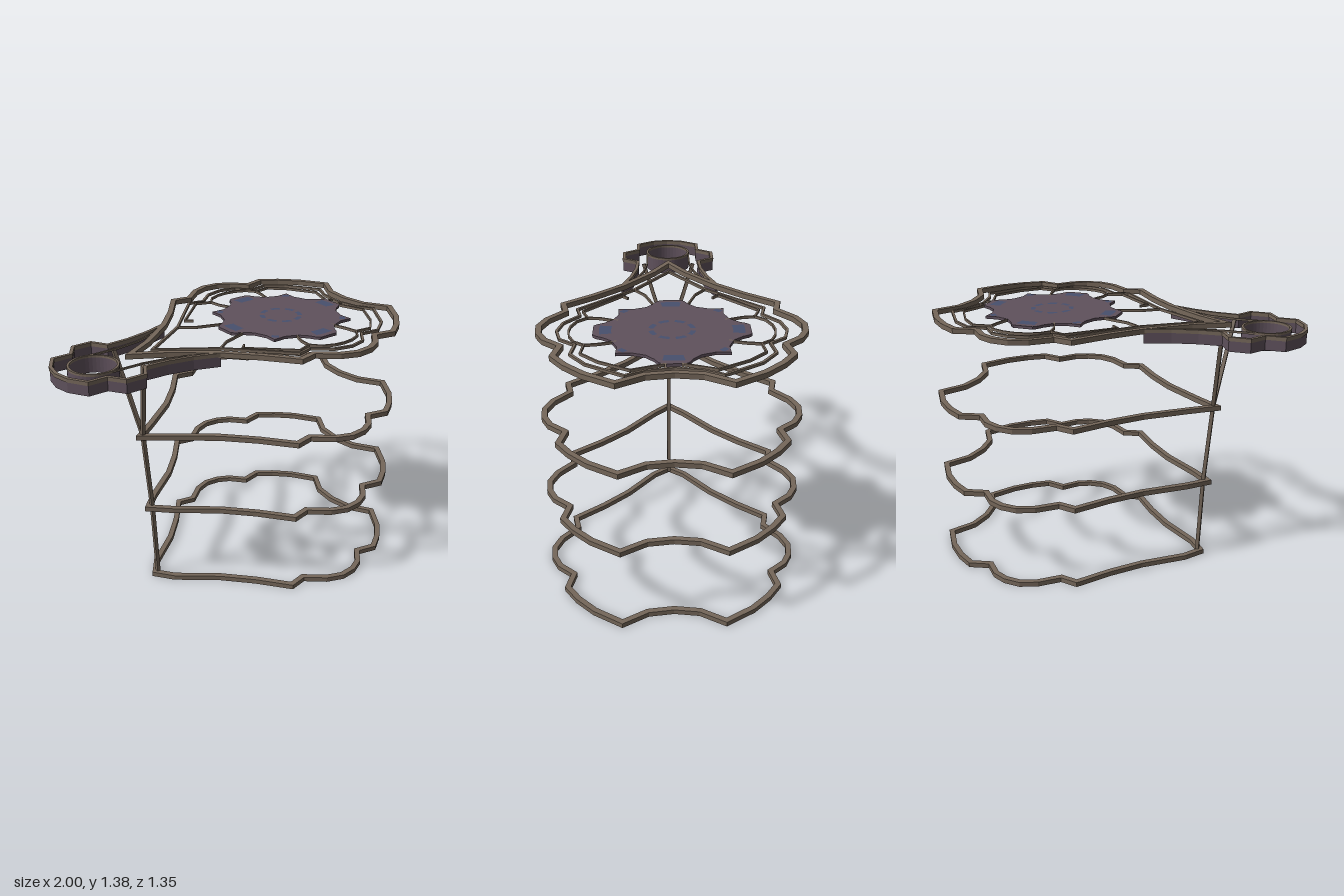
import * as THREE from 'three';

const mat = (name, color) => {
  const m = new THREE.MeshStandardMaterial({ color });
  m.name = name;
  return m;
};

// Plan points are [x, p] with p = -z. Mirror a half outline (left to right) into a closed loop.
const mirror = (half) => [
  ...half,
  ...half.filter((p) => p[1] > 0).reverse().map(([x, p]) => [x, -p]),
];
const flip = (pts) => pts.map(([x, p]) => [x, -p]);

// Shift a polyline sideways by d (to the right of its direction) with mitred corners
function offset(pts, d, closed) {
  const n = pts.length;
  const normal = (a, b) => new THREE.Vector2(b[1] - a[1], a[0] - b[0]).normalize();
  return pts.map((p, i) => {
    const prev = closed || i > 0 ? normal(pts[(i + n - 1) % n], p) : null;
    const next = closed || i < n - 1 ? normal(p, pts[(i + 1) % n]) : null;
    const a = prev || next, b = next || prev;
    const m = a.clone().add(b).normalize();
    const k = d / Math.max(0.45, m.dot(a));
    return new THREE.Vector2(p[0] + m.x * k, p[1] + m.y * k);
  });
}

function extrude(shape, y, height) {
  const g = new THREE.ExtrudeGeometry(shape, { depth: height, bevelEnabled: false, curveSegments: 20 });
  return g.rotateX(-Math.PI / 2).translate(0, y, 0);
}

// Strip of constant width following a plan line; closed loops run inward from the line
function ribbon(pts, width, y, height, closed = false) {
  let shape;
  if (closed) {
    // counter-clockwise outline around a clockwise hole, so both walls face out
    shape = new THREE.Shape(offset(pts, 0, true).reverse());
    shape.holes.push(new THREE.Path(offset(pts, width, true)));
  } else {
    shape = new THREE.Shape([
      ...offset(pts, -width / 2, false),
      ...offset(pts, width / 2, false).reverse(),
    ]);
  }
  return extrude(shape, y, height);
}

function ringShape(cx, outer, inner) {
  const s = new THREE.Shape().absarc(cx, 0, outer, 0, Math.PI * 2);
  s.holes.push(new THREE.Path().absarc(cx, 0, inner, 0, Math.PI * 2, true));
  return s;
}

export function createModel() {
  const root = new THREE.Group();
  const bronze = mat('bronze brown', 0x75675a);
  const plum = mat('dusky plum', 0x5f515c);
  const blue = mat('slate blue', 0x48506e);
  const add = (name, geometry, material) => {
    const m = new THREE.Mesh(geometry, material);
    m.name = name;
    root.add(m);
    return m;
  };

  // Four stacked frames sharing one lobed outline, each with its own pointed tip
  const lobes = [
    [-0.425, 0.105], [-0.22, 0.265], [-0.08, 0.41], [0.055, 0.578], [0.155, 0.558], [0.255, 0.64],
    [0.35, 0.676], [0.445, 0.668], [0.525, 0.63], [0.595, 0.552], [0.705, 0.577],
    [0.805, 0.51], [0.9, 0.417], [1, 0.265], [0.918, 0.13], [0.9, 0],
  ];
  const levels = [[0, -0.505], [0.446, -0.535], [0.892, -0.57], [1.358, -0.61]];
  levels.forEach(([y, tip], i) => {
    add(i === 3 ? 'topFrame' : 'lowerFrame' + (i + 1),
      ribbon(mirror([[tip, 0], ...lobes]), 0.03, y, 0.027, true), bronze);
  });

  // Thin tracery inside the top frame
  const ty = 1.364, th = 0.014;
  add('innerOutline', ribbon(mirror([
    [-0.46, 0], [-0.165, 0.2], [0.115, 0.492], [0.2, 0.472], [0.295, 0.55], [0.4, 0.575],
    [0.5, 0.552], [0.565, 0.474], [0.67, 0.49], [0.78, 0.412], [0.905, 0.225], [0.855, 0.13], [0.83, 0],
  ]), 0.013, ty, th, true), bronze);
  const tracery = [
    [[-0.035, 0.225], [-0.07, 0.257], [0.145, 0.455], [0.23, 0.425], [0.275, 0.477], [0.34, 0.503],
      [0.4, 0.51], [0.46, 0.503], [0.525, 0.477], [0.565, 0.425], [0.66, 0.437], [0.75, 0.35],
      [0.842, 0.2], [0.805, 0.1], [0.785, 0.04], [0.83, 0.04]],
    [[0.23, 0.425], [0.238, 0.36], [0.275, 0.27]],
    [[0.565, 0.425], [0.555, 0.36], [0.53, 0.27]],
    [[-0.165, 0.195], [-0.08, 0.135], [0.06, 0.09]],
  ];
  for (const line of tracery) {
    add('traceryLeft', ribbon(flip(line), 0.009, ty, th), bronze);
    add('traceryRight', ribbon(line, 0.009, ty, th), bronze);
  }

  // Star-shaped centre plate: one quarter outline turned four times
  const cx = 0.4;
  const quarter = [
    [0.373, -0.073], [0.39, -0.055], [0.39, 0.055], [0.373, 0.073], [0.34, 0.09], [0.295, 0.13],
    [0.268, 0.2], [0.272, 0.272], [0.2, 0.268], [0.13, 0.295], [0.09, 0.34],
  ];
  const star = [];
  for (let q = 0; q < 4; q++) {
    for (const [x, y] of quarter) {
      star.push(new THREE.Vector2(x, y).rotateAround(new THREE.Vector2(), q * Math.PI / 2).add(new THREE.Vector2(cx, 0)));
    }
  }
  add('starPlate', extrude(new THREE.Shape(star), 1.363, 0.015), plum);

  // Blue inlays: dashed circle and a patch in each point of the star
  const inlay = new THREE.Group();
  inlay.name = 'plateInlay';
  inlay.position.set(cx, 1.379, 0);
  root.add(inlay);
  const patch = (name, inner, outer, angle, sweep) => {
    const g = new THREE.RingGeometry(inner, outer, 6, 1, angle - sweep / 2, sweep).rotateX(-Math.PI / 2);
    const m = new THREE.Mesh(g, blue);
    m.name = name;
    inlay.add(m);
  };
  for (let i = 0; i < 8; i++) {
    const a = i * Math.PI / 4;
    patch('inlayDash', 0.092, 0.118, a + Math.PI / 8, 0.5);
    if (i % 2 === 0) patch('mainPointInlay', 0.3, 0.36, a, 0.3);
    else patch('cornerPointInlay', 0.325, 0.355, a, 0.12);
  }

  // Head: plum wall under a bronze rim, open towards the frame
  const headHalf = [
    [-0.21, 0.26], [-0.345, 0.213], [-0.48, 0.185], [-0.605, 0.178], [-0.655, 0.26], [-0.76, 0.26],
    [-0.815, 0.178], [-0.918, 0.178], [-0.975, 0.085], [-0.991, 0],
  ];
  const head = [...headHalf, ...flip(headHalf.slice(0, -1)).reverse()];
  add('headWall', ribbon(head, 0.011, 1.308, 0.055), plum);
  add('headRim', ribbon(head, 0.018, 1.363, 0.02), bronze);

  // Round cup in the head with two thin rails running back to the frame
  add('cupWall', extrude(ringShape(-0.79, 0.128, 0.118), 1.286, 0.08), plum);
  add('cupRim', extrude(ringShape(-0.79, 0.129, 0.117), 1.366, 0.012), bronze);
  const rail = [[-0.79, 0.123], [-0.585, 0.123], [-0.45, 0.145], [-0.34, 0.185], [-0.23, 0.25]];
  add('railRight', ribbon(rail, 0.009, 1.366, 0.01), bronze);
  add('railLeft', ribbon(flip(rail), 0.009, 1.366, 0.01), bronze);

  // Post at the tips, forking into two arms below the top frame
  const strut = (name, a, b) => {
    const p = new THREE.Vector3(...a), q = new THREE.Vector3(...b);
    const m = add(name, new THREE.BoxGeometry(0.02, p.distanceTo(q) + 0.008, 0.02), bronze);
    m.position.copy(p).add(q).multiplyScalar(0.5);
    m.quaternion.setFromUnitVectors(new THREE.Vector3(0, 1, 0), q.sub(p).normalize());
  };
  strut('lowerPost', [-0.466, 0.015, 0], [-0.487, 0.46, 0]);
  strut('middlePost', [-0.487, 0.46, 0], [-0.527, 0.91, 0]);
  for (const s of [1, -1]) {
    strut(s > 0 ? 'forkArmFront' : 'forkArmBack', [-0.527, 0.91, 0], [-0.592, 1.365, s * 0.143]);
  }
  return root;
}
